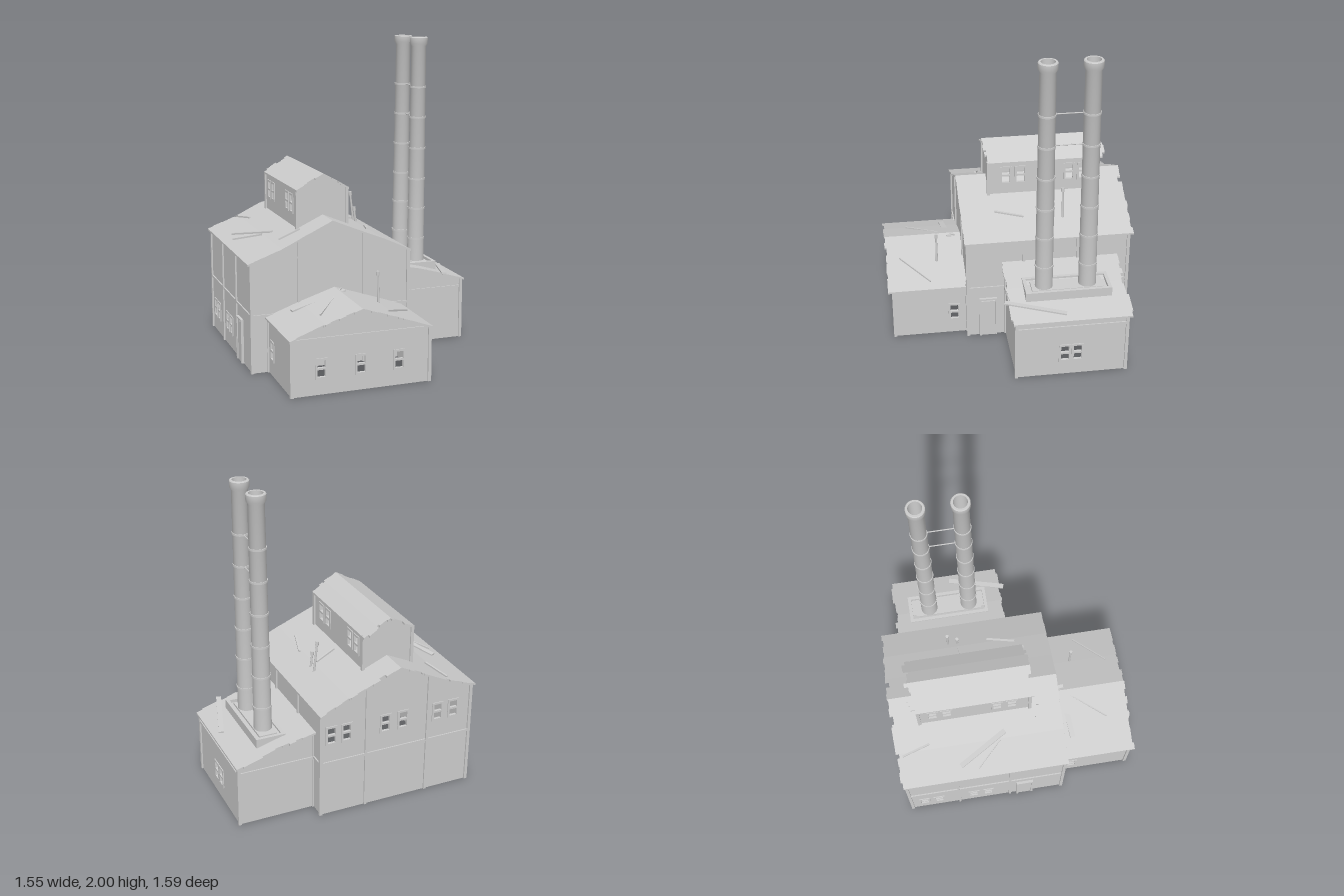
import * as THREE from 'three';
import { mergeGeometries, toCreasedNormals } from 'three/addons/utils/BufferGeometryUtils.js';

const T = 0.012; // wall and roof sheet thickness
const WIN_W = 0.062, WIN_H = 0.112;

export function createModel() {
  const model = new THREE.Group();
  const grey = new THREE.MeshStandardMaterial({ color: 0xcccccc });
  grey.name = 'weathered grey';

  let seed = 7;
  const random = () => (seed = (seed * 16807) % 2147483647) / 2147483647;

  const add = (parent, name, geometry, x = 0, y = 0, z = 0) => {
    const mesh = new THREE.Mesh(geometry, grey);
    mesh.name = name;
    mesh.position.set(x, y, z);
    parent.add(mesh);
    return mesh;
  };
  const box = (parent, name, w, h, d, x, y, z) =>
    add(parent, name, new THREE.BoxGeometry(w, h, d), x, y, z);
  const polygon = pts => new THREE.Shape(pts.map(p => new THREE.Vector2(...p)));
  const rect = (cx, cy, w, h) => polygon([
    [cx - w / 2, cy - h / 2], [cx + w / 2, cy - h / 2],
    [cx + w / 2, cy + h / 2], [cx - w / 2, cy + h / 2]]);
  const extrude = (shape, depth) =>
    new THREE.ExtrudeGeometry(shape, { depth, bevelEnabled: false });

  // Height of a roof profile at x
  const heightAt = (profile, x) => {
    let i = 1;
    while (i < profile.length - 1 && profile[i][0] < x) i++;
    const [a, b] = [profile[i - 1], profile[i]];
    return a[1] + (b[1] - a[1]) * (x - a[0]) / (b[0] - a[0]);
  };

  // Wall with open windows; local +z faces outward
  function wall(parent, name, outline, windows, angle, x, z, cy) {
    const g = new THREE.Group();
    g.name = name;
    g.rotation.y = angle;
    g.position.set(x, 0, z);
    const shape = polygon(outline);
    for (const u of windows) {
      shape.holes.push(rect(u, cy, WIN_W, WIN_H));
      const frame = rect(u, cy, WIN_W + 0.014, WIN_H + 0.014);
      for (const s of [-1, 1])
        frame.holes.push(rect(u, cy + s * WIN_H / 4, WIN_W - 0.012, WIN_H / 2 - 0.012));
      add(g, 'windowFrame', extrude(frame, T + 0.006), 0, 0, -T);
    }
    add(g, 'wallPanel', extrude(shape, T), 0, 0, -T);
    parent.add(g);
    return g;
  }

  // Roof of sheet strips with ragged ends
  function roof(parent, name, profile, z0, z1, count, ragBack, ragFront) {
    const parts = [];
    const xa = profile[0][0], xb = profile[profile.length - 1][0];
    const xs = profile.map(p => p[0]);
    for (let i = 1; i < count; i++) xs.push(xa + (xb - xa) * (i + 0.3 * (random() - 0.5)) / count);
    xs.sort((a, b) => a - b);
    for (let i = 0; i < xs.length - 1; i++) {
      const [l, r] = [xs[i], xs[i + 1]];
      if (r - l < 1e-4) continue;
      const [yl, yr] = [heightAt(profile, l), heightAt(profile, r)];
      const back = z0 + ragBack * random() ** 2, front = z1 - ragFront * random() ** 2;
      const strip = extrude(polygon([[l, yl - T], [r, yr - T], [r, yr], [l, yl]]), front - back);
      parts.push(strip.translate(0, 0, back));
    }
    add(parent, name, mergeGeometries(parts));
  }

  // Hollow building: walls, corner posts, bands, pilasters
  function building(name, o) {
    const g = new THREE.Group();
    g.name = name;
    model.add(g);
    const { x0, x1, z0, z1, profile, base = 0, cy, bandY, pilasters = [], sidePilasters = [] } = o;
    const h = x => heightAt(profile, x) - T / 2;
    const top = [[x0, h(x0)], ...profile.filter(p => p[0] > x0 && p[0] < x1).map(p => [p[0], p[1] - T / 2]), [x1, h(x1)]];
    const gable = [[x1, base], ...[...top].reverse(), [x0, base]];
    const side = (a, b, y) => [[a, base], [b, base], [b, y], [a, y]];
    const faces = {
      front: [gable, 0, 0, z1, x0, x1, pilasters],
      back: [gable.map(([x, y]) => [-x, y]), Math.PI, 0, z0, -x1, -x0, pilasters.map(p => -p)],
      right: [side(-z1, -z0, h(x1)), Math.PI / 2, x1, 0, -z1, -z0, sidePilasters.map(p => -p)],
      left: [side(z0, z1, h(x0)), -Math.PI / 2, x0, 0, z0, z1, sidePilasters],
    };
    for (const [key, [outline, angle, x, z, a, b, pils]] of Object.entries(faces)) {
      if (!o[key]) continue;
      const sign = key === 'back' || key === 'right' ? -1 : 1;
      const w = wall(g, key + 'Wall', outline, o[key].map(v => v * sign), angle, x, z, cy);
      if (bandY) box(w, 'band', b - a, 0.016, 0.008, (a + b) / 2, bandY, 0.004);
      for (const p of pils) {
        const py = key === 'front' || key === 'back' ? h(p * sign) : outline[2][1];
        box(w, 'pilaster', 0.016, py - base, 0.01, p, (py + base) / 2, 0.005);
      }
    }
    for (const x of [x0, x1]) for (const z of [z0, z1])
      box(g, 'cornerPost', 0.02, h(x) - base, 0.02, x, (h(x) + base) / 2, z);
    roof(g, 'roof', profile, o.roofZ[0], o.roofZ[1], o.strips, ...o.rag);
    return g;
  }

  const mainRoof = [[-0.775, 0.69], [-0.56, 0.768], [-0.4, 0.845], [-0.235, 0.922], [-0.08, 0.857], [0.1, 0.785], [0.285, 0.7]];
  const lanternRoof = [[-0.412, 1.09], [-0.32, 1.14], [-0.235, 1.185], [-0.15, 1.14], [-0.06, 1.085]];
  const annexRoof = [[-0.665, 0.35], [-0.45, 0.427], [-0.22, 0.5], [0, 0.427], [0.225, 0.348]];
  const boilerRoof = [[0.27, 0.545], [0.5, 0.49], [0.775, 0.408]];

  const hall = building('mainHall', {
    x0: -0.75, x1: 0.27, z0: -0.76, z1: 0.28, profile: mainRoof, cy: 0.545, bandY: 0.36,
    pilasters: [-0.45, -0.03], sidePilasters: [-0.43, -0.08], front: [], right: [],
    back: [0.2, 0.1, -0.16, -0.28, -0.52, -0.63], roofZ: [-0.795, 0.3], strips: 22, rag: [0.03, 0.004],
  });
  // Low windows in the left-hand long wall
  const longWall = wall(hall, 'leftWall', [[-0.76, 0], [0.28, 0], [0.28, 0.695], [-0.76, 0.695]],
    [-0.67, -0.57, -0.33, -0.23], -Math.PI / 2, -0.75, 0, 0.158);
  box(longWall, 'band', 1.04, 0.016, 0.008, -0.24, 0.36, 0.004);
  for (const u of [-0.43, -0.08]) box(longWall, 'pilaster', 0.016, 0.69, 0.01, u, 0.345, 0.005);

  building('roofLantern', {
    x0: -0.402, x1: -0.075, z0: -0.61, z1: 0.1, profile: lanternRoof, base: 0.82, cy: 0.985,
    front: [], back: [], left: [-0.015, -0.11, -0.43, -0.52], right: [-0.015, -0.11, -0.43, -0.52],
    roofZ: [-0.665, 0.125], strips: 14, rag: [0.045, 0.025],
  });
  building('frontAnnex', {
    x0: -0.645, x1: 0.215, z0: 0.28, z1: 0.755, profile: annexRoof, cy: 0.158, bandY: 0.338,
    front: [-0.465, -0.22, 0.02], left: [0.365], right: [0.365],
    roofZ: [0.275, 0.792], strips: 18, rag: [0, 0.014],
  });
  building('boilerHouse', {
    x0: 0.27, x1: 0.755, z0: -0.655, z1: 0.035, profile: boilerRoof, cy: 0.158, bandY: 0.352,
    front: [], back: [], right: [-0.268, -0.348],
    roofZ: [-0.692, 0.065], strips: 12, rag: [0.025, 0.012],
  });

  // Doors in the long walls
  for (const [x, z] of [[-0.755, 0.02], [0.275, 0.15]]) {
    box(model, 'door', 0.012, 0.26, 0.09, x, 0.13, z);
    for (const s of [-1, 1]) box(model, 'doorJamb', 0.024, 0.27, 0.012, x, 0.135, z + s * 0.051);
    box(model, 'doorLintel', 0.024, 0.012, 0.114, x, 0.276, z);
  }

  // Chimney plinth with raised rims
  box(model, 'chimneyPlinth', 0.188, 0.1, 0.54, 0.516, 0.445, -0.315);
  const rim = rect(0, 0, 0.188, 0.54);
  rim.holes.push(rect(0, 0, 0.145, 0.497));
  add(model, 'plinthRim', extrude(rim, 0.022).rotateX(-Math.PI / 2), 0.516, 0.494, -0.315);
  box(model, 'plinthPad', 0.112, 0.02, 0.45, 0.516, 0.498, -0.315);

  // Twin chimneys, open at the top and slightly leaning
  const lathe = pts => toCreasedNormals(
    new THREE.LatheGeometry(pts.map(p => new THREE.Vector2(...p)), 24), 0.6);
  for (const [z, leanX] of [[-0.17, 0], [-0.445, 0.008]]) {
    const chimney = new THREE.Group();
    chimney.name = 'chimney';
    chimney.position.set(0.513, 0.45, z);
    chimney.rotation.set(leanX, 0, -0.006);
    add(chimney, 'stack', lathe([[0.056, 0], [0.049, 1.49], [0.059, 1.507], [0.059, 1.545], [0.055, 1.55],
      [0.043, 1.55], [0.043, 1.3], [0, 1.3]]));
    for (const y of [0.21, 0.415, 0.615, 0.82, 1.025, 1.225]) {
      const r = 0.056 - 0.007 * y / 1.49;
      add(chimney, 'hoop', lathe([[r - 0.002, -0.006], [r + 0.004, -0.006], [r + 0.004, 0.006], [r - 0.002, 0.006]]), 0, y, 0);
    }
    model.add(chimney);
  }
  for (const y of [1.475, 1.675])
    add(model, 'chimneyTie', new THREE.CylinderGeometry(0.004, 0.004, 0.2, 8).rotateX(Math.PI / 2), 0.521, y, -0.3);

  // Vent pipes with small caps
  for (const [x, z, y0, y1, lean] of [[0.135, -0.355, 0.75, 0.955, 0.11], [0.13, -0.295, 0.75, 0.86, 0.1], [0.005, 0.455, 0.41, 0.61, 0.03]]) {
    const vent = new THREE.Group();
    vent.name = 'ventPipe';
    vent.position.set(x, y0, z);
    vent.rotation.z = lean;
    const h = y1 - y0;
    add(vent, 'pipe', new THREE.CylinderGeometry(0.006, 0.008, h, 10), 0, h / 2, 0);
    add(vent, 'pipeCap', new THREE.CylinderGeometry(0.011, 0.011, 0.025, 10), 0, h, 0);
    model.add(vent);
  }

  // Loose planks lying on the roofs: x0, z0, x1, z1, width
  const planks = [
    [mainRoof, [[-0.69, -0.39, -0.52, -0.08, 0.032], [-0.58, -0.75, -0.53, -0.57, 0.012], [-0.72, -0.28, -0.57, -0.12, 0.008],
      [-0.53, 0.125, -0.4, 0.15, 0.014], [-0.04, -0.27, 0.09, -0.295, 0.014], [0.12, -0.1, 0.07, 0.08, 0.014]]],
    [annexRoof, [[-0.53, 0.385, -0.18, 0.355, 0.035], [-0.43, 0.635, -0.19, 0.32, 0.007], [-0.03, 0.7, 0.17, 0.51, 0.007]]],
    [boilerRoof, [[0.725, -0.28, 0.61, 0.09, 0.032]]],
  ];
  for (const [profile, list] of planks) for (const [xa, za, xb, zb, w] of list) {
    const a = new THREE.Vector3(xa, heightAt(profile, xa) + 0.008, za);
    const b = new THREE.Vector3(xb, heightAt(profile, xb) + 0.008, zb);
    const plank = box(model, 'loosePlank', w, 0.01, a.distanceTo(b), 0, 0, 0);
    plank.position.lerpVectors(a, b, 0.5);
    plank.lookAt(b);
  }
  return model;
}
